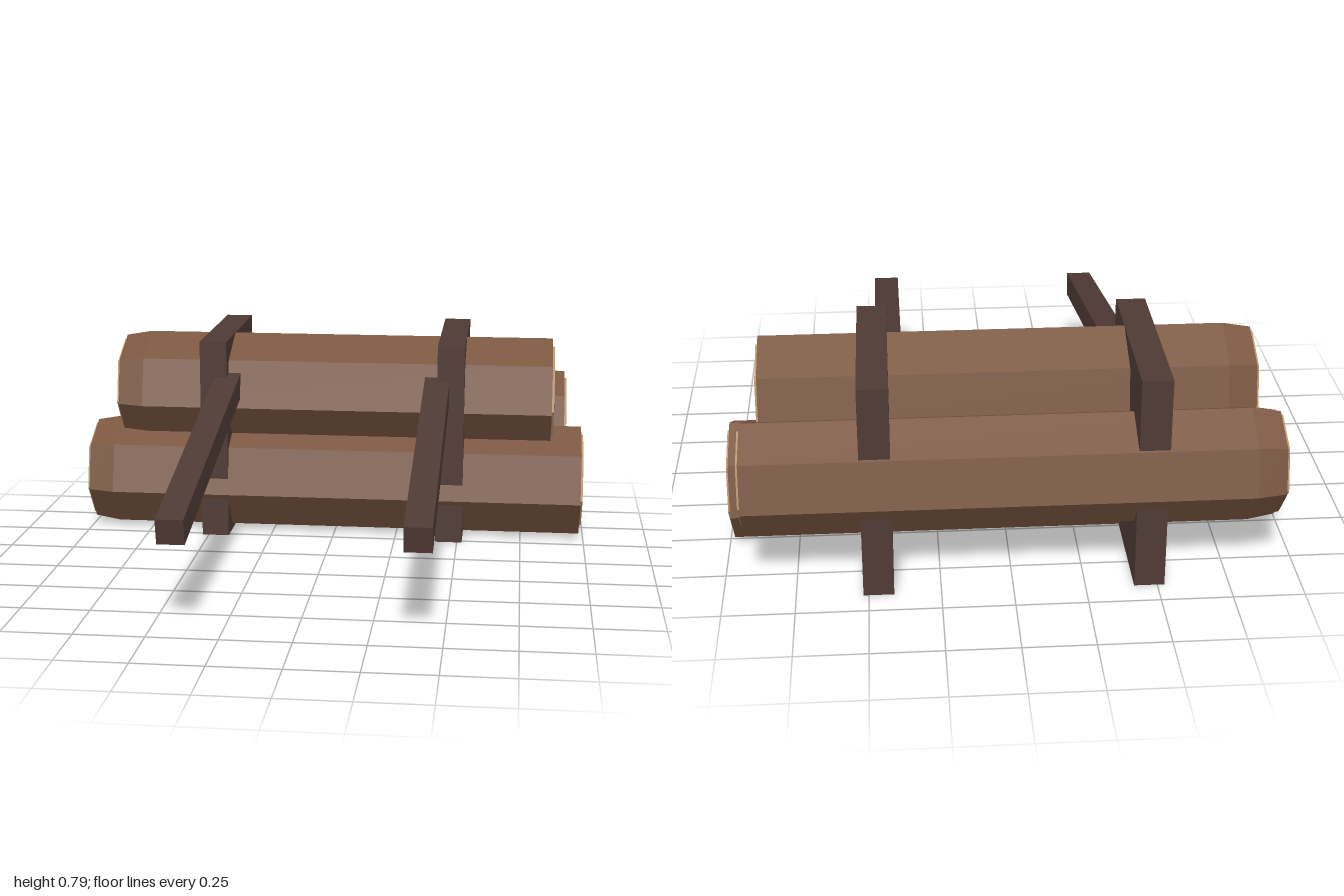
import * as THREE from 'three';

const bark = new THREE.MeshStandardMaterial({ name: 'bark', color: 0x7a5640 });
const wood = new THREE.MeshStandardMaterial({ name: 'cutWood', color: 0xb6946a });
const heart = new THREE.MeshStandardMaterial({ name: 'heartwood', color: 0x8e6c4f });
const timber = new THREE.MeshStandardMaterial({ name: 'darkTimber', color: 0x4f3a35 });

// Seven-sided solid along x, one corner pointing up; profile = [radius, x] from -x to +x
function heptagon(name, profile, material) {
  const points = profile.map(([r, x]) => new THREE.Vector2(r, x));
  let geo = new THREE.LatheGeometry(points, 7, -Math.PI / 2);
  geo.rotateZ(-Math.PI / 2);
  geo = geo.toNonIndexed();
  geo.computeVertexNormals();
  const mesh = new THREE.Mesh(geo, material);
  mesh.name = name;
  return mesh;
}

function disc(name, r, x0, x1, material) {
  return heptagon(name, [[0, x0], [r, x0], [r, x1], [0, x1]], material);
}

// Log with a tapered -x end and a cut face on both ends
function makeLog(name, y, z, r, x0, x1) {
  const log = new THREE.Group();
  log.name = name;
  log.position.set(0, y, z);
  log.add(heptagon('bark', [[0, x0], [r * 0.92, x0], [r, x0 + 0.1], [r, x1], [0, x1]], bark));
  for (const [x, dir] of [[x0, -1], [x1, 1]]) {
    const span = (a, b) => [x + dir * a, x + dir * b].sort((p, q) => p - q);
    log.add(disc('cutFace', r * 0.85, ...span(-0.01, 0.009), wood));
    log.add(disc('heartwood', r * 0.47, ...span(0, 0.012), heart));
  }
  return log;
}

function box(name, w, h, d, x, y, z) {
  const mesh = new THREE.Mesh(new THREE.BoxGeometry(w, h, d), timber);
  mesh.name = name;
  mesh.position.set(x, y, z);
  return mesh;
}

export function createModel() {
  const model = new THREE.Group();
  model.name = 'logBarrier';

  // Stacked logs
  model.add(makeLog('bottomLog', 0.22, -0.43, 0.22, -0.988, 0.982));
  model.add(makeLog('topLog', 0.57, -0.46, 0.22, -0.865, 0.86));
  model.add(makeLog('backLog', 0.403, -0.755, 0.2, -0.925, 0.918));

  // Upright brackets and sloping poles, one pair per side
  const tilt = 0.208;
  const length = 1.4;
  for (const side of [-1, 1]) {
    model.add(box('bracket', 0.106, 0.79, 0.675, side * 0.469 - 0.003, 0.395, -0.5675));
    const pole = box('pole', 0.097, 0.094, length, side * 0.415 - 0.004, 0, 0);
    pole.rotation.x = tilt;
    // Outer end centre sits at y 0.352, z 0.944
    pole.position.y = 0.352 + Math.sin(tilt) * length / 2;
    pole.position.z = 0.944 - Math.cos(tilt) * length / 2;
    model.add(pole);
  }
  return model;
}
